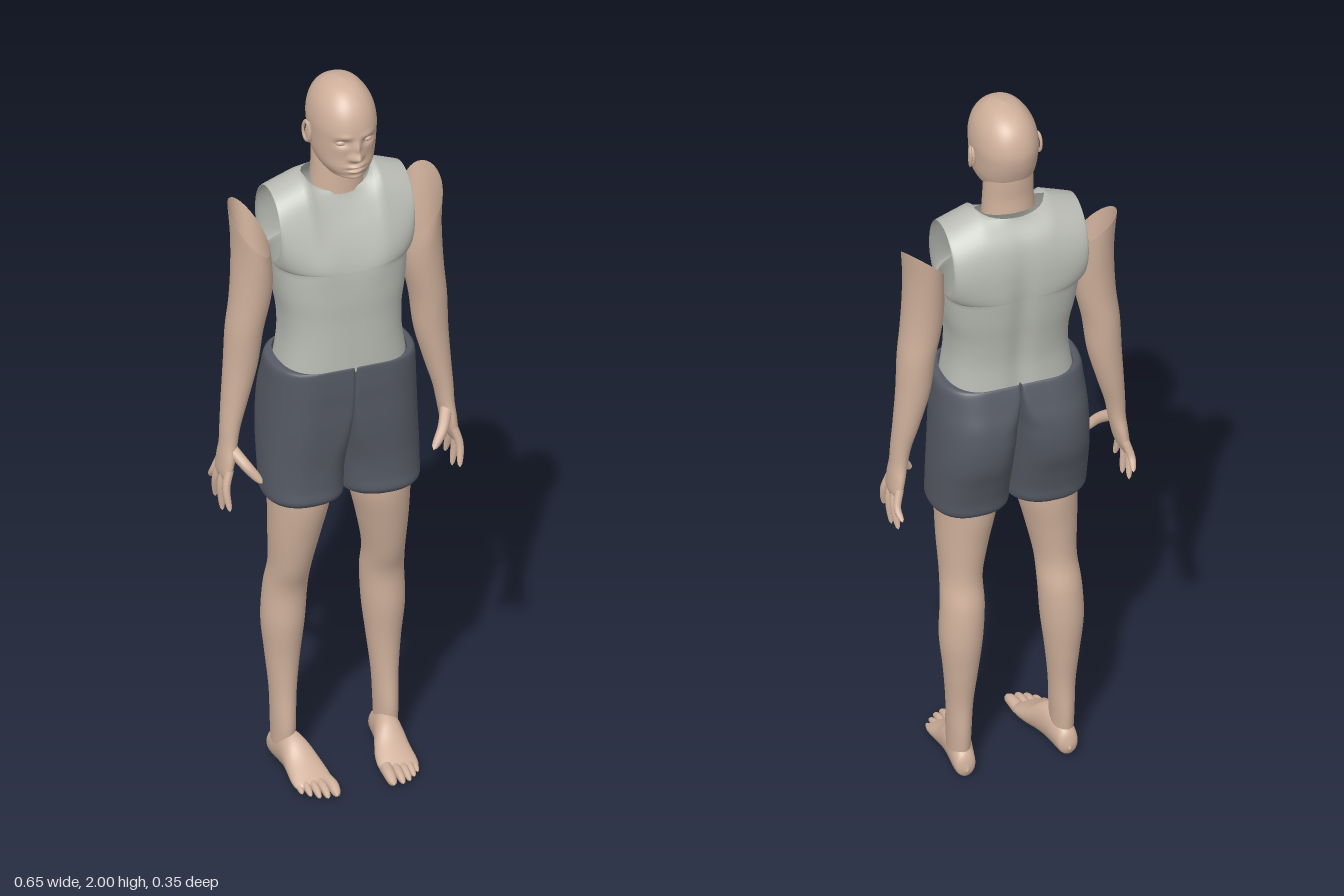
import * as THREE from 'three';
import { mergeVertices, mergeGeometries } from 'three/addons/utils/BufferGeometryUtils.js';

const mat = (name, color) => {
  const m = new THREE.MeshStandardMaterial({ color, side: THREE.DoubleSide });
  m.name = name;
  return m;
};

// Smooth sample of a table of rows, s running over the row index
function sample(rows, s) {
  const i = Math.min(Math.floor(s), rows.length - 2), t = s - i;
  const at = k => rows[Math.max(0, Math.min(rows.length - 1, k))];
  const [a, b, c, d] = [at(i - 1), at(i), at(i + 1), at(i + 2)];
  return b.map((p, k) => p + 0.5 * t * (c[k] - a[k] + t * (2 * a[k] - 5 * p + 4 * c[k] - d[k]
    + t * (3 * (p - c[k]) + d[k] - a[k]))));
}

// Surface from a rule (u, v) -> [x, y, z]
function grid(nu, nv, fn) {
  const pos = [], idx = [];
  for (let j = 0; j <= nv; j++) for (let i = 0; i <= nu; i++) {
    pos.push(...fn(i / nu, j / nv));
    if (i < nu && j < nv) {
      const a = j * (nu + 1) + i, b = a + nu + 1;
      idx.push(a, a + 1, b + 1, a, b + 1, b);
    }
  }
  const g = new THREE.BufferGeometry();
  g.setAttribute('position', new THREE.Float32BufferAttribute(pos, 3));
  g.setIndex(idx);
  return g;
}

function weld(...geos) {
  const g = mergeVertices(mergeGeometries(geos), 1e-5);
  g.computeVertexNormals();
  return g;
}

const pw = (v, n) => Math.sign(v) * Math.pow(Math.abs(v), 2 / n);

// Loft over rows [y, cx, cz, rx, rz, ...] from top to bottom
function loft(rows, { nu = 32, steps = 5, n = 2, shape = p => p } = {}) {
  return weld(grid(nu, (rows.length - 1) * steps, (u, v) => {
    const r = sample(rows, v * (rows.length - 1)), a = (u % 1) * Math.PI * 2;
    return shape([r[1] + r[3] * pw(Math.cos(a), n), r[0], r[2] + r[4] * pw(Math.sin(a), n)], r);
  }));
}

// Tapered finger or toe with a rounded tip
function digit(points, radius) {
  const curve = new THREE.CatmullRomCurve3(points.map(p => new THREE.Vector3(...p)));
  const n = 14, sides = 12, g = new THREE.TubeGeometry(curve, n, radius, sides);
  const p = g.attributes.position, v = new THREE.Vector3();
  for (let i = 0; i < p.count; i++) {
    const s = Math.floor(i / (sides + 1)) / n, c = curve.getPointAt(s);
    v.fromBufferAttribute(p, i).sub(c).multiplyScalar((1 - 0.25 * s) * Math.sqrt(1 - s ** 7)).add(c);
    p.setXYZ(i, v.x, v.y, v.z);
  }
  return g;
}

// Sleeveless shirt: front and back sheets that part at the armholes
function shirtGeometry() {
  // y, half width, side z, front z, back z
  const rows = [
    [1.195, .168, -.02, .1, -.132], [1.27, .157, -.02, .1, -.13], [1.34, .158, -.025, .1, -.138],
    [1.41, .17, -.035, .102, -.15], [1.485, .178, -.045, .098, -.16], [1.53, .18, -.045, .085, -.163],
    [1.58, .18, -.045, .065, -.16], [1.63, .18, -.045, .04, -.145], [1.69, .18, -.045, .018, -.105]];
  const sheet = side => grid(40, 40, (u, v) => {
    const t = Math.max(0, 1 - 2 * v), up = (1 - Math.cos(Math.PI * t)) / 2;
    const [y0, X, zE, zF, zB] = sample(rows, v < 0.5 ? 4 + 4 * up : 8 * (1 - v));
    const a = side * Math.cos(u * Math.PI), x = X * a;
    const body = Math.pow(Math.max(0, 1 - Math.abs(a) ** 2.6), 1 / 2.6);
    const neck = Math.sqrt(Math.max(0, 1 - (x / .09) ** 2));
    const f = u === 0 || u === 1 ? 0 : THREE.MathUtils.lerp(body, neck, up ** 3);
    const top = 1.722 - Math.max(0, Math.abs(x) - .09) * .38 - neck * (side > 0 ? .044 : .014);
    const y = v < 0.5 ? THREE.MathUtils.lerp(1.485, top, up) : y0;
    const edge = zE + side * .18 * Math.sqrt(up * (1 - up));
    const relief = side > 0
      ? .005 * Math.exp(-(((Math.abs(x) - .075) / .04) ** 2) - ((y - 1.5) / .05) ** 2)
      : .011 * Math.exp(-((x / .028) ** 2)) * (1 - up);
    return [x, y, edge + ((side > 0 ? zF : zB) - edge) * f + relief];
  });
  return weld(sheet(1), sheet(-1));
}

// One half of the shorts, flat against the middle at the waist and rounding into a leg
function shortsGeometry() {
  // y, outer x, middle x, front z, back z, front and back squareness
  const rows = [
    [1.208, .168, .08, .1, -.132, 30, 30], [1.2, .19, .08, .103, -.138, 30, 24],
    [1.15, .196, .08, .103, -.155, 30, 9], [1.1, .2, .085, .1, -.17, 26, 4],
    [1.04, .203, .09, .097, -.174, 12, 3], [.98, .206, .095, .092, -.166, 6, 2.6],
    [.92, .208, .1, .086, -.145, 3.5, 2.6], [.86, .208, .103, .085, -.128, 2.8, 2.4],
    [.825, .206, .104, .088, -.122, 2.5, 2.4], [.81, .195, .104, .075, -.11, 2.3, 2.3]];
  return weld(grid(64, 45, (u, v) => {
    const [y, X, c, zF, zB, nF, nB] = sample(rows, v * 9);
    const a = (u % 1) * Math.PI * 2, co = Math.cos(a), si = Math.sin(a), zc = (zF + zB) / 2;
    const n = co > 0 ? 2.3 : si > 0 ? nF : nB;
    return [c + (co > 0 ? X - c : c - .001) * pw(co, n), y, zc + (zF - zc) * pw(si, n)];
  }));
}

// Head with the face raised and sunk by soft bumps
function headGeometry() {
  // y, half width, front z, back z
  const rows = [
    [2, 0, 0, -.002], [1.99, .035, .045, -.05], [1.97, .058, .076, -.085], [1.94, .075, .098, -.106],
    [1.9, .083, .11, -.117], [1.86, .082, .109, -.113], [1.82, .079, .103, -.1], [1.79, .071, .104, -.085],
    [1.77, .058, .1, -.07], [1.757, .042, .09, -.04], [1.75, 0, .03, .028]]
    .map(([y, w, f, b]) => [y, 0, (f + b) / 2, w, (f - b) / 2]);
  const bumps = [ // x, y, width, height, depth
    [0, 1.824, .012, .012, .026], [0, 1.85, .009, .02, .014], [.014, 1.82, .007, .007, .007],
    [.034, 1.864, .016, .01, -.012], [.03, 1.884, .02, .007, .004], [0, 1.795, .02, .005, .009],
    [0, 1.788, .024, .0025, -.004], [0, 1.781, .017, .005, .008], [0, 1.762, .02, .009, .005]];
  return loft(rows, { nu: 96, steps: 8, n: 2.2, shape: ([x, y, z]) => {
    if (z > .02) for (const [bx, by, w, h, d] of bumps)
      z += d * Math.exp(-(((Math.abs(x) - bx) / w) ** 2) - ((y - by) / h) ** 2);
    return [x, y, z];
  } });
}

export function createModel() {
  const skin = mat('skin', 0xcfb09b), shirt = mat('shirt grey', 0xb9bbb4), dark = mat('shorts grey', 0x565a64);
  const model = new THREE.Group();
  const add = (parent, name, geo, material, pos = [0, 0, 0], scale = [1, 1, 1]) => {
    const m = new THREE.Mesh(geo, material);
    m.name = name;
    m.position.set(...pos);
    m.scale.set(...scale);
    parent.add(m);
    return m;
  };

  add(model, 'head', headGeometry(), skin);
  add(model, 'neck', loft([
    [1.85, 0, -.045, .06, .055], [1.79, 0, -.04, .064, .058],
    [1.74, 0, -.037, .066, .058], [1.695, 0, -.037, .069, .06]],
    { shape: ([x, y, z]) => [x, y - Math.max(0, 1.85 - y) * 2.4 * (z + .037), z] }), skin);
  add(model, 'shirt', shirtGeometry(), shirt);

  // Shared parts for both sides
  const shorts = shortsGeometry();
  const arm = loft([ // y, cx, cz, rx, rz, slant of the open top
    [1.585, .232, -.045, .05, .078, 1], [1.52, .228, -.04, .05, .072, .7], [1.45, .228, -.037, .052, .065, .3],
    [1.38, .234, -.037, .052, .06, 0], [1.3, .247, -.04, .048, .056, 0], [1.2, .256, -.042, .044, .048, 0],
    [1.1, .273, -.04, .034, .04, 0], [1.03, .286, -.036, .026, .034, 0], [.98, .292, -.034, .022, .034, 0],
    [.94, .298, -.034, .02, .042, 0], [.9, .304, -.035, .016, .044, 0], [.875, .306, -.035, .005, .035, 0]],
    { shape: ([x, y, z], r) => [x, y + r[5] * ((x - r[1]) * .9 - (z - r[2]) * .5), z] });
  const leg = loft([
    [.9, .108, -.02, .08, .095], [.8, .108, -.02, .078, .094], [.7, .118, -.025, .066, .08],
    [.6, .126, -.036, .054, .066], [.52, .13, -.058, .056, .062], [.42, .135, -.062, .055, .063],
    [.32, .136, -.062, .044, .053], [.22, .137, -.056, .034, .046], [.13, .138, -.052, .03, .05],
    [.07, .138, -.052, .028, .046]]);
  const foot = loft([ // z, cx, -cy, rx, ry
    [.125, .117, -.02, .02, .006], [.115, .117, -.022, .045, .013], [.09, .116, -.027, .052, .022],
    [.05, .118, -.038, .048, .034], [.01, .124, -.054, .04, .049], [-.03, .13, -.058, .034, .053],
    [-.08, .136, -.05, .03, .044], [-.105, .137, -.042, .024, .031], [-.115, .137, -.035, .003, .005]])
    .rotateX(Math.PI / 2);
  const fingers = [[0, .025, .81], [-.023, -.03, .785], [-.047, -.08, .8], [-.068, -.113, .845]]
    .map(([z0, z1, y]) => digit([[.302, .915, z0], [.314, .87, z0 * .6 + z1 * .4], [.309, y, z1]], .0115));
  const thumb = digit([[.288, .965, -.015], [.262, .93, .025], [.23, .888, .045]], .016);
  const toes = [[.076, .173, .017], [.101, .175, .0125], [.121, .167, .0115], [.139, .151, .011], [.155, .132, .0105]]
    .map(([x, z, r]) => digit([[x * .9 + .012, .026, z - .07], [x, .026, z - .035], [x, .014, z]], r));
  const ball = new THREE.SphereGeometry(1, 20, 14);

  for (const side of [1, -1]) {
    const half = new THREE.Group();
    half.name = side > 0 ? 'leftSide' : 'rightSide';
    half.scale.x = side;
    model.add(half);
    add(half, 'shortsHalf', shorts, dark);
    add(half, 'arm', arm, skin);
    add(half, 'leg', leg, skin);
    add(half, 'foot', foot, skin);
    add(half, 'thumb', thumb, skin);
    fingers.forEach(g => add(half, 'finger', g, skin));
    toes.forEach(g => add(half, 'toe', g, skin));
    add(half, 'eyelid', ball, skin, [.034, 1.863, .084], [.015, .009, .013]);
    add(half, 'ear', ball, skin, [.085, 1.853, -.008], [.008, .03, .015]);
    const rim = add(half, 'earRim', new THREE.TorusGeometry(.014, .004, 8, 24), skin, [.091, 1.857, -.01], [1, 1.8, 1]);
    rim.rotation.y = Math.PI / 2 - .25;
  }
  return model;
}
